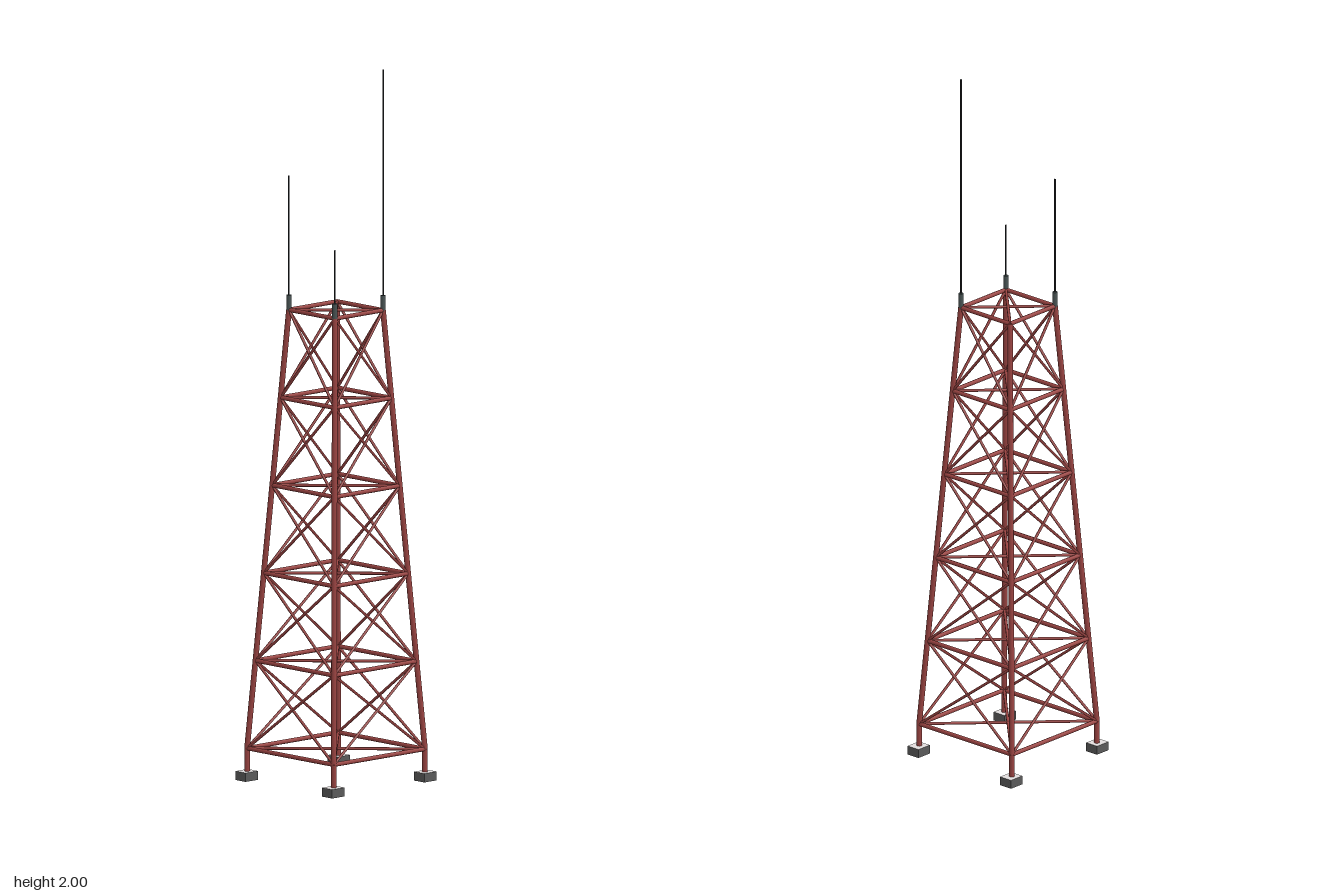
import * as THREE from 'three';

const UP = new THREE.Vector3(0, 1, 0);

export function createModel() {
  const tower = new THREE.Group();
  tower.name = 'latticeTower';

  const mat = (name, color) => {
    const m = new THREE.MeshStandardMaterial({ color });
    m.name = name;
    return m;
  };
  const red = mat('oxideRed', 0x9a4442);
  const concrete = mat('paleConcrete', 0xe2dede);
  const base = mat('darkBase', 0x5a5a5a);
  const steel = mat('mountSteel', 0x4a5555);
  const dark = mat('antennaDark', 0x2c3032);

  const section = (name) => {
    const g = new THREE.Group();
    g.name = name;
    tower.add(g);
    return g;
  };
  const legs = section('legs');
  const rails = section('rails');
  const braces = section('crossBraces');
  const diagonals = section('floorDiagonals');
  const footings = section('footings');
  const antennas = section('antennas');

  // Round bar between two points
  function bar(parent, name, a, b, radius, material, sides = 8) {
    const dir = b.clone().sub(a);
    const geo = new THREE.CylinderGeometry(radius, radius, dir.length(), sides);
    const mesh = new THREE.Mesh(geo, material);
    mesh.name = name;
    mesh.position.copy(a).add(b).multiplyScalar(0.5);
    mesh.quaternion.setFromUnitVectors(UP, dir.normalize());
    parent.add(mesh);
  }

  const BAYS = 5;
  const BASE_Y = 0.089, TOP_Y = 1.323;
  const BASE_R = 0.174, TOP_R = 0.092;
  // Corners in order around the tower
  const corners = [[1, 1], [1, -1], [-1, -1], [-1, 1]];
  const node = (corner, level) => {
    const [sx, sz] = corners[corner % 4];
    const t = level / BAYS;
    const r = THREE.MathUtils.lerp(BASE_R, TOP_R, t);
    return new THREE.Vector3(sx * r, THREE.MathUtils.lerp(BASE_Y, TOP_Y, t), sz * r);
  };

  // Dark footing with a pale top face
  const footingGeo = new THREE.BoxGeometry(0.041, 0.025, 0.047);
  const footingMats = [base, base, concrete, base, base, base];

  for (let c = 0; c < 4; c++) {
    // Sloping leg, vertical stub and footing
    const foot = node(c, 0);
    bar(legs, 'leg', foot, node(c, BAYS), 0.0078, red);
    bar(legs, 'legStub', new THREE.Vector3(foot.x, 0.02, foot.z), foot, 0.0078, red);
    const block = new THREE.Mesh(footingGeo, footingMats);
    block.name = 'footing';
    block.position.set(Math.sign(foot.x) * 0.1735, 0.0125, Math.sign(foot.z) * 0.176);
    footings.add(block);

    // Horizontal rails and X bracing on each face
    for (let i = 0; i <= BAYS; i++) {
      bar(rails, 'rail', node(c, i), node(c + 1, i), 0.0062, red);
      if (i === BAYS) continue;
      bar(braces, 'brace', node(c, i), node(c + 1, i + 1), 0.004, red, 6);
      bar(braces, 'brace', node(c + 1, i), node(c, i + 1), 0.004, red, 6);
    }
  }

  // Horizontal diagonals across each level
  for (let i = 0; i <= BAYS; i++) {
    for (let c = 0; c < 2; c++) {
      bar(diagonals, 'floorDiagonal', node(c, i), node(c + 2, i), 0.0043, red);
    }
  }

  // Whip antennas on three corners: corner index and tip height
  for (const [c, tip] of [[0, 1.515], [1, 2.0], [3, 1.7]]) {
    const top = node(c, BAYS);
    const at = (y) => new THREE.Vector3(top.x, y, top.z);
    bar(antennas, 'antennaMount', at(1.315), at(1.365), 0.0075, steel, 12);
    bar(antennas, 'antennaWhip', at(1.36), at(tip), 0.0022, dark, 6);
  }

  return tower;
}
